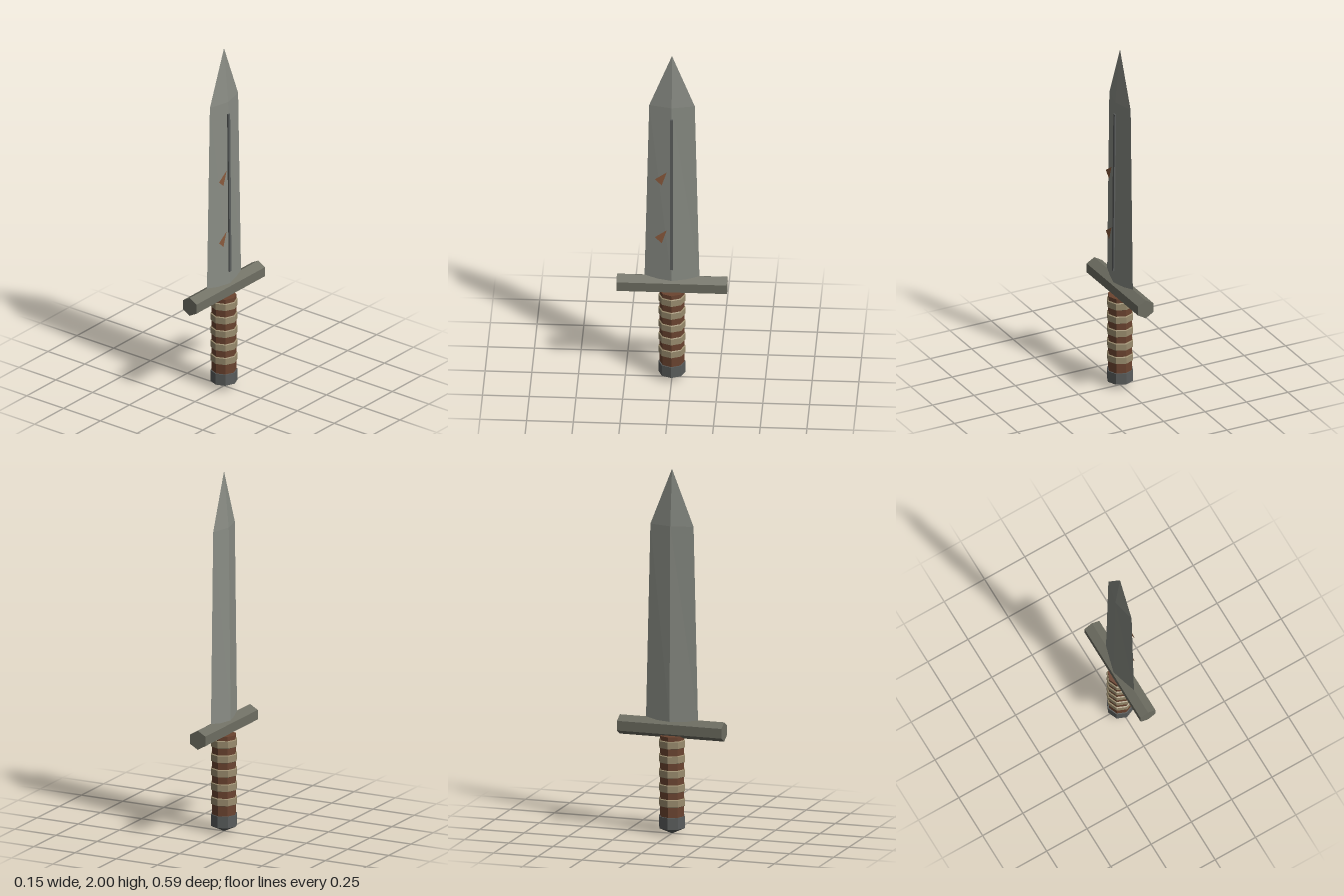
import * as THREE from 'three';

const material = (color) =>
  new THREE.MeshStandardMaterial({ color, flatShading: true, side: THREE.DoubleSide });

const STEEL = material(0x8a8d85);
const GUARD = material(0x6e6e62);
const DARK = material(0x5a5d5c);
const WOOD = material(0x6b4430);
const WRAP = material(0x9a8c6e);
const RUST = material(0x8a5a3c);

function addMesh(parent, name, geometry, mat) {
  const mesh = new THREE.Mesh(geometry, mat);
  mesh.name = name;
  parent.add(mesh);
  return mesh;
}

// Faceted solid of revolution from [radius, y] pairs, listed bottom to top
function facetedLathe(profile, sides) {
  const points = profile.map(([r, y]) => new THREE.Vector2(r, y));
  const geometry = new THREE.LatheGeometry(points, sides).toNonIndexed();
  geometry.computeVertexNormals();
  return geometry;
}

export function createModel() {
  const model = new THREE.Group();
  model.name = 'dagger';

  // Blade: four-sided spindle flattened in x to a diamond section
  const blade = facetedLathe([[0, 0.62], [0.147, 0.62], [0.122, 1.69], [0, 2]], 4);
  const pos = blade.attributes.position;
  for (let i = 0; i < pos.count; i++) {
    pos.setX(i, pos.getX(i) * (pos.getY(i) > 1 ? 0.235 : 0.275));
  }
  blade.computeVertexNormals();
  addMesh(model, 'blade', blade, STEEL);

  // Narrow strip along the ridge of the left face
  const strip = addMesh(model, 'ridgeStrip', new THREE.BoxGeometry(0.012, 0.93, 0.016), DARK);
  strip.position.set(0.0345, 1.155, 0);
  strip.rotation.z = 0.01;

  // Rust flecks beside the strip
  const fleck = new THREE.BufferGeometry();
  fleck.setAttribute('position', new THREE.Float32BufferAttribute(
    [0, -0.003, 0.034, 0, -0.04, -0.003, 0, 0.042, -0.03], 3));
  fleck.computeVertexNormals();
  for (const y of [0.892, 1.253]) {
    addMesh(model, 'rustFleck', fleck, RUST).position.set(0.038, y, 0.056);
  }

  // Hexagonal crossguard lying along z
  const guard = addMesh(model, 'crossguard', new THREE.CylinderGeometry(0.053, 0.053, 0.59, 6), GUARD);
  guard.rotation.x = Math.PI / 2;
  guard.position.y = 0.578;

  // Octagonal grip with raised wrap bands
  addMesh(model, 'grip', facetedLathe([[0, 0.08], [0.067, 0.08], [0.067, 0.54], [0, 0.54]], 8), WOOD);
  const band = facetedLathe(
    [[0.064, -0.023], [0.0735, -0.018], [0.0735, 0.018], [0.064, 0.023]], 8);
  for (let i = 0; i < 5; i++) {
    addMesh(model, 'gripBand', band, WRAP).position.y = 0.175 + i * 0.08;
  }

  // Pommel cap tapering to a blunt point
  addMesh(model, 'pommel', facetedLathe(
    [[0, 0], [0.073, 0.034], [0.073, 0.098], [0, 0.1]], 8), DARK);

  return model;
}
